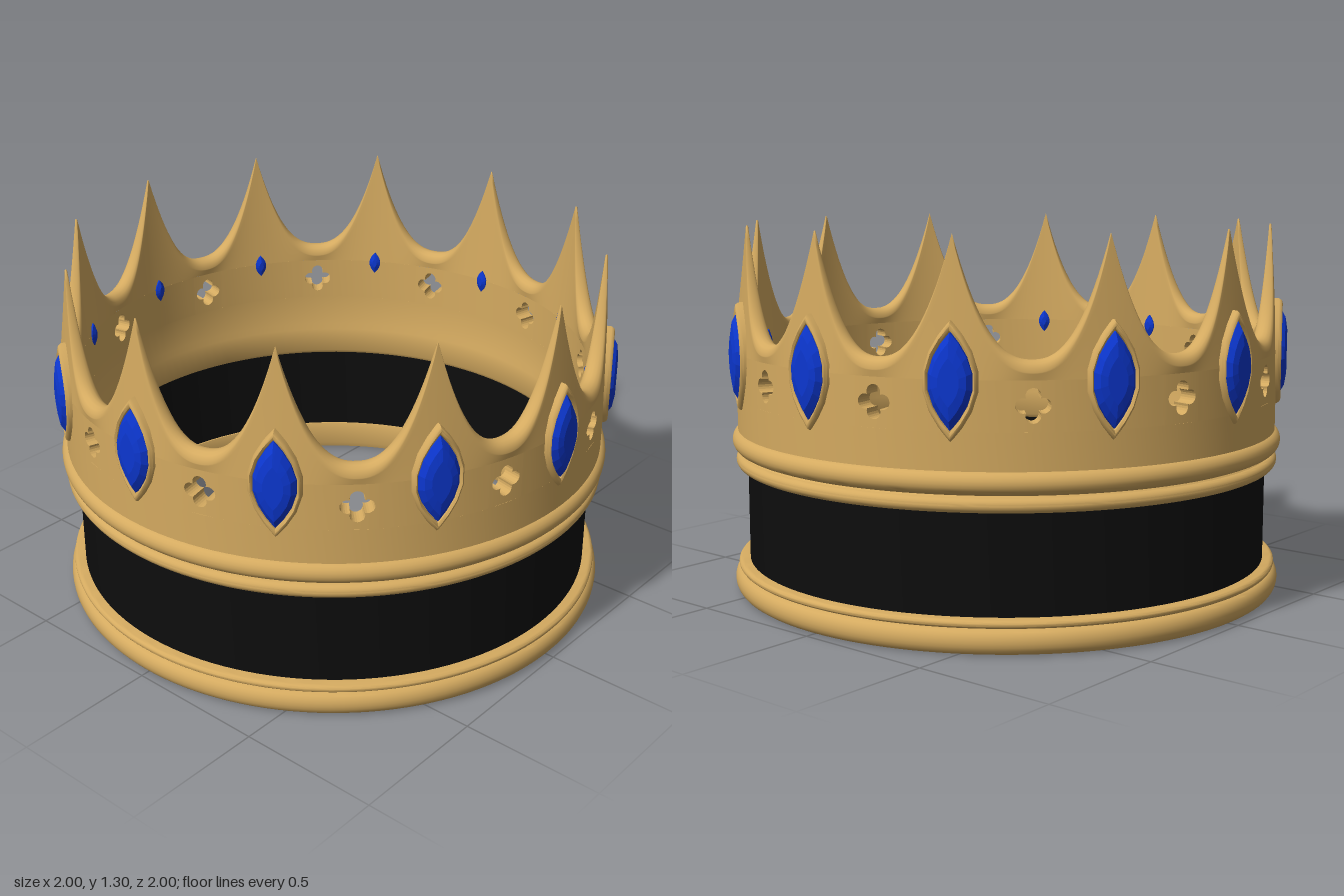
import * as THREE from 'three';
import { toCreasedNormals } from 'three/addons/utils/BufferGeometryUtils.js';

const COUNT = 12;
const STEP = (Math.PI * 2) / COUNT;
const R_IN = 0.9, R_OUT = 0.965; // wall radii
const BAND_LOW = 0.7, BAND_HIGH = 0.86; // pierced band
const HOLE_HALF = 0.07; // half angle of the pierced panel
const lerp = THREE.MathUtils.lerp;

const gold = new THREE.MeshStandardMaterial({ color: 0xd4aa60 });
const black = new THREE.MeshStandardMaterial({ color: 0x0d0d0d });
const blue = new THREE.MeshStandardMaterial({ color: 0x0c37d0 });
gold.name = 'gold';
black.name = 'black';
blue.name = 'sapphire blue';

function add(parent, name, geometry, material) {
  const mesh = new THREE.Mesh(geometry, material);
  mesh.name = name;
  parent.add(mesh);
  return mesh;
}

// Elliptical bead in a lathe profile, from angle a0 to a1 in degrees
function bead(r, y, rx, ry, a0 = -90, a1 = 90, n = 10) {
  return Array.from({ length: n + 1 }, (_, i) => {
    const a = THREE.MathUtils.degToRad(lerp(a0, a1, i / n));
    return [r + rx * Math.cos(a), y + ry * Math.sin(a)];
  });
}

// Closed ring turned from a profile (counterclockwise in radius and height)
function turned(profile, segments = 144, start = 0, length = Math.PI * 2) {
  const pts = [...profile, profile[0]].map(([r, y]) => new THREE.Vector2(r, y));
  return toCreasedNormals(new THREE.LatheGeometry(pts, segments, start, length), 0.6);
}

// Marquise outline, counterclockwise
function marquise(w, h, n = 9) {
  return Array.from({ length: n * 2 }, (_, i) => {
    const a = (Math.PI * i) / n;
    return [w * Math.sin(a) * Math.abs(Math.sin(a)), -h * Math.cos(a)];
  });
}

// Skin over marquise rings [width, height, z], from back to front
function loftMarquise(rings, capped) {
  const pos = [], index = [];
  const n = marquise(1, 1).length;
  rings.forEach(([w, h, z]) => marquise(w, h).forEach(([x, y]) => pos.push(x, y, z)));
  for (let j = 0; j < rings.length - 1; j++) {
    for (let i = 0; i < n; i++) {
      const a = j * n + i, b = j * n + ((i + 1) % n);
      index.push(a, b, b + n, a, b + n, a + n);
    }
  }
  if (capped) {
    const last = (rings.length - 1) * n;
    for (let i = 1; i < n - 1; i++) {
      index.push(0, i + 1, i, last, last + i, last + i + 1);
    }
  }
  const g = new THREE.BufferGeometry();
  g.setAttribute('position', new THREE.Float32BufferAttribute(pos, 3));
  g.setIndex(index);
  return g;
}

// Panel with a four-lobed hole, bent round the crown
function piercedPanel() {
  const half = HOLE_HALF, n = 8;
  const shape = new THREE.Shape();
  for (let i = 0; i <= n; i++) {
    const x = lerp(-half, half, i / n);
    if (i === 0) shape.moveTo(x, BAND_LOW);
    else shape.lineTo(x, BAND_LOW);
  }
  for (let i = n; i >= 0; i--) shape.lineTo(lerp(-half, half, i / n), BAND_HIGH);
  const pts = [];
  for (let k = 0; k < 4; k++) {
    const dir = (k * Math.PI) / 2;
    for (let i = 0; i < 13; i++) {
      const a = dir + THREE.MathUtils.degToRad(lerp(-111, 111, i / 12));
      const x = 0.031 * Math.cos(dir) + 0.024 * Math.cos(a);
      const y = 0.031 * Math.sin(dir) + 0.024 * Math.sin(a);
      pts.push(new THREE.Vector2(x / 0.95, 0.782 + y));
    }
  }
  shape.holes.push(new THREE.Path(pts.reverse()));
  const g = new THREE.ExtrudeGeometry(shape, { depth: R_OUT - R_IN, bevelEnabled: false });
  const p = g.attributes.position, nm = g.attributes.normal;
  const up = new THREE.Vector3(0, 1, 0), v = new THREE.Vector3();
  for (let i = 0; i < p.count; i++) {
    const angle = p.getX(i), r = R_IN + p.getZ(i);
    p.setXYZ(i, r * Math.sin(angle), p.getY(i), r * Math.cos(angle));
    v.fromBufferAttribute(nm, i).applyAxisAngle(up, angle);
    nm.setXYZ(i, v.x, v.y, v.z);
  }
  return g;
}

// Scalloped top: one rounded wall section per column, rising to twelve points
function pointedRim() {
  const perPoint = 40, columns = COUNT * perPoint, wallRows = 7, arcRows = 8;
  const mid = (R_IN + R_OUT) / 2, base = (R_OUT - R_IN) / 2;
  const pos = [], index = [];
  let rows = 0;
  for (let c = 0; c < columns; c++) {
    const angle = (c / perPoint) * STEP;
    const f = Math.abs(((c / perPoint + 0.5) % 1) - 0.5) * 2; // 0 at point, 1 in valley
    const rise = Math.pow(1 - f, 2.4);
    const top = 0.92 + 0.38 * rise;
    const round = lerp(0.037, 0.004, Math.pow(rise, 0.8));
    const yc = top - round;
    const section = [];
    for (let i = 0; i < wallRows; i++) {
      const t = i / wallRows;
      section.push([lerp(base, round, t), lerp(BAND_HIGH, yc, t)]);
    }
    const inner = section.map(([h, y]) => [-h, y]).reverse();
    for (let i = 0; i <= arcRows; i++) {
      const a = (Math.PI * i) / arcRows;
      section.push([round * Math.cos(a), yc + round * Math.sin(a)]);
    }
    section.push(...inner);
    rows = section.length;
    section.forEach(([h, y]) => {
      pos.push((mid + h) * Math.sin(angle), y, (mid + h) * Math.cos(angle));
    });
  }
  for (let c = 0; c < columns; c++) {
    for (let j = 0; j < rows - 1; j++) {
      const a = c * rows + j, b = ((c + 1) % columns) * rows + j;
      index.push(a, b, b + 1, a, b + 1, a + 1);
    }
  }
  const g = new THREE.BufferGeometry();
  g.setAttribute('position', new THREE.Float32BufferAttribute(pos, 3));
  g.setIndex(index);
  g.computeVertexNormals();
  return g;
}

export function createModel() {
  const crown = new THREE.Group();
  crown.name = 'crown';

  // Base ring, velvet band and upper mouldings
  add(crown, 'baseRing', turned([
    [0.9, 0], ...bead(0.955, 0.041, 0.03, 0.041),
    ...bead(0.955, 0.097, 0.017, 0.014), [0.9, 0.111], [0.894, 0.09], [0.894, 0.02],
  ]), gold);
  add(crown, 'velvetBand', turned([
    [0.906, 0.1], [0.932, 0.1], [0.932, 0.46], [0.906, 0.46],
  ]), black);
  add(crown, 'lowerMoulding', turned([
    [0.9, 0.447], ...bead(0.95, 0.471, 0.023, 0.024), [0.945, 0.5],
    ...bead(0.95, 0.541, 0.035, 0.037), [R_OUT, 0.578], [R_OUT, BAND_LOW],
    [R_IN, BAND_LOW], [R_IN, 0.578], [0.893, 0.555], [0.892, 0.46],
  ]), gold);

  // Pierced band, alternating panels and plain wall
  const panel = piercedPanel();
  const wall = turned([
    [R_OUT, BAND_LOW], [R_OUT, BAND_HIGH], [R_IN, BAND_HIGH], [R_IN, BAND_LOW],
  ], 10, -STEP / 2 + HOLE_HALF, STEP - HOLE_HALF * 2);

  // Jewel shows a small tip on the inside of the wall
  const jewel = loftMarquise([
    [0.009, 0.018, 0.887], [0.022, 0.043, 0.896], [0.022, 0.043, 0.925],
    [0.07, 0.15, 0.93], [0.07, 0.15, 0.976], [0.056, 0.12, 0.993], [0.034, 0.075, 1.0],
  ], true).toNonIndexed();
  jewel.computeVertexNormals();
  const setting = toCreasedNormals(loftMarquise([
    [0.089, 0.187, 0.93], [0.088, 0.185, 0.97], [0.084, 0.178, 0.979],
    [0.079, 0.168, 0.982], [0.073, 0.156, 0.977], [0.069, 0.149, 0.955],
  ], false), 0.7);

  for (let k = 0; k < COUNT; k++) {
    add(crown, 'plainWall', wall, gold).rotation.y = k * STEP;
    add(crown, 'piercedPanel', panel, gold).rotation.y = (k + 0.5) * STEP;
    const mount = new THREE.Group();
    mount.name = 'jewelMount';
    mount.rotation.y = k * STEP;
    add(mount, 'jewelSetting', setting, gold).position.y = 0.855;
    add(mount, 'jewel', jewel, blue).position.y = 0.855;
    crown.add(mount);
  }

  add(crown, 'pointedRim', pointedRim(), gold);
  return crown;
}
